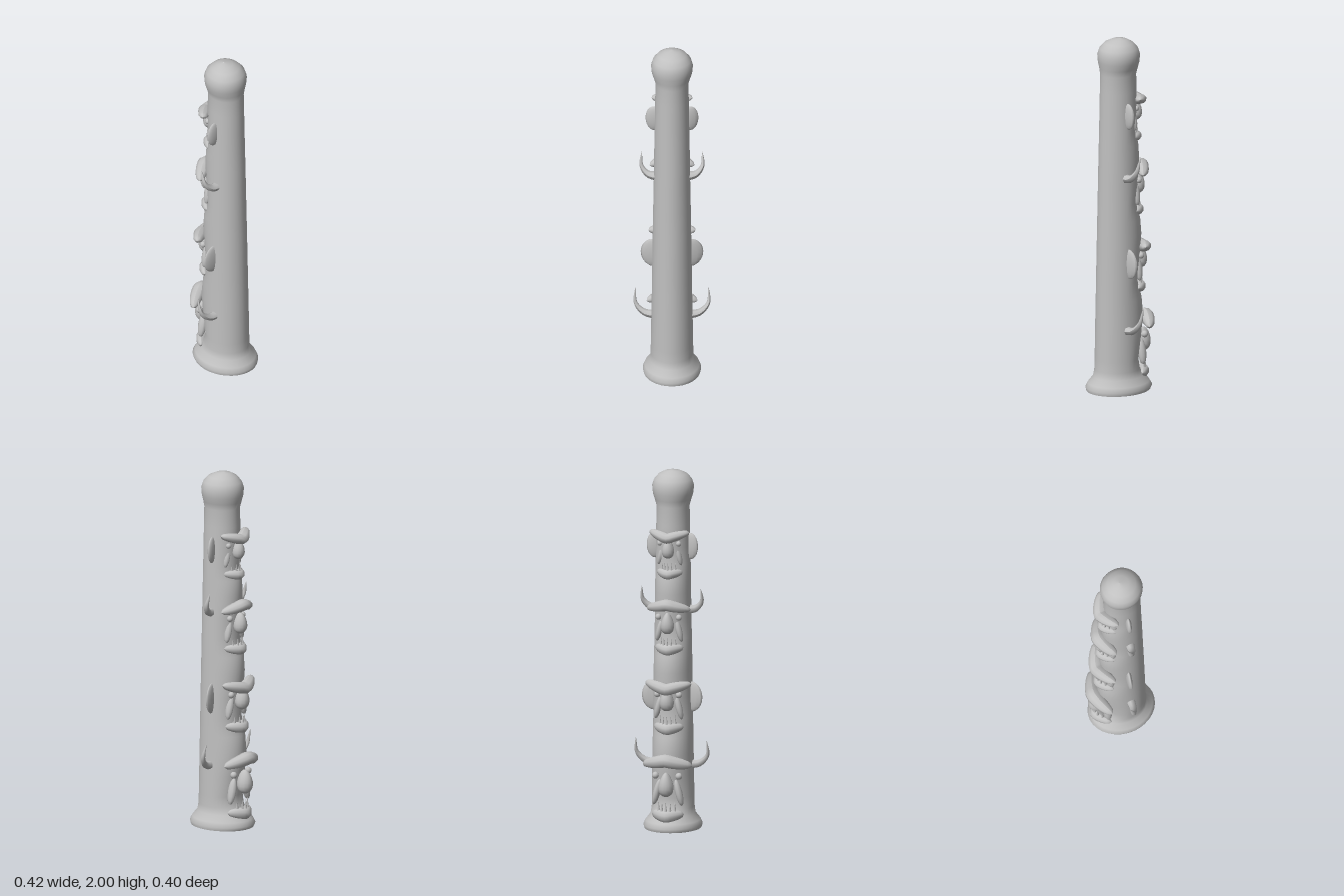
import * as THREE from 'three';

const stone = new THREE.MeshStandardMaterial({ color: 0xc0c0c0 });
stone.name = 'grey carving';

function add(parent, name, geometry) {
  const mesh = new THREE.Mesh(geometry, stone);
  mesh.name = name;
  parent.add(mesh);
  return mesh;
}

// Closed column through oval sections: [y, half width, front z, back z]
function loft(sections, sides) {
  const pos = [], idx = [];
  for (const [y, rx, zf, zb] of sections) {
    const cz = 0.015 * Math.min(1, rx / 0.09);
    for (let j = 0; j < sides; j++) {
      const a = (j / sides) * Math.PI * 2, c = Math.cos(a);
      pos.push(rx * Math.sin(a), y, cz + c * (c > 0 ? zf - cz : cz - zb));
    }
  }
  for (let i = 0; i < sections.length - 1; i++) {
    for (let j = 0; j < sides; j++) {
      const k = (j + 1) % sides, a = i * sides, b = a + sides;
      idx.push(a + j, a + k, b + k, a + j, b + k, b + j);
    }
  }
  const g = new THREE.BufferGeometry();
  g.setAttribute('position', new THREE.Float32BufferAttribute(pos, 3));
  g.setIndex(idx);
  g.computeVertexNormals();
  return g;
}

// Tube whose section is scaled by rule(t) -> [x, y, z] about its centre line
function sweep(points, rule, segs = 20, sides = 10) {
  const path = new THREE.CatmullRomCurve3(points.map((p) => new THREE.Vector3(...p)));
  const g = new THREE.TubeGeometry(path, segs, 1, sides, false);
  const p = g.attributes.position, v = new THREE.Vector3();
  for (let i = 0; i <= segs; i++) {
    const c = path.getPointAt(i / segs), s = new THREE.Vector3(...rule(i / segs));
    for (let j = 0; j <= sides; j++) {
      const n = i * (sides + 1) + j;
      v.fromBufferAttribute(p, n).sub(c).multiply(s).add(c);
      p.setXYZ(n, v.x, v.y, v.z);
    }
  }
  g.computeVertexNormals();
  return g;
}

// Crescent that wraps the back of the pole, with rounded ends
function crescent(w, yMid, yEnd, zMid, zEnd, ry, rz) {
  const pt = (u) => [w * u, yMid + (yEnd - yMid) * Math.abs(u), zMid + (zEnd - zMid) * Math.abs(u) ** 1.4];
  return sweep([-1, -0.6, -0.25, 0, 0.25, 0.6, 1].map(pt), (t) => {
    const k = Math.max(0.02, Math.sin(Math.PI * t) ** 0.4);
    return [rz * 0.7 * k, ry * k, rz * k];
  });
}

// Nose: ball that narrows and recedes toward the bridge
function nose(h, w, d) {
  const g = new THREE.SphereGeometry(1, 14, 10);
  const p = g.attributes.position;
  for (let i = 0; i < p.count; i++) {
    const y = p.getY(i), k = 0.8 - 0.3 * y;
    p.setXYZ(i, p.getX(i) * w * k, y * h, p.getZ(i) * d * (0.9 - 0.15 * y));
  }
  g.computeVertexNormals();
  return g;
}

function ear(parent, side, y, x, out, h) {
  const m = add(parent, 'ear', new THREE.SphereGeometry(1, 12, 10));
  m.scale.set(out, h, 0.016);
  m.position.set(side * x, y, 0.008);
  m.rotation.y = side * 0.2;
}

function horn(parent, side, y, out, h) {
  const pts = [[0.085, 0, 0.02], [0.085 + out * 0.55, 0.01, 0.012],
    [0.085 + out * 0.95, h * 0.4, -0.005], [0.08 + out, h, -0.028]];
  add(parent, 'horn', sweep(pts.map(([a, b, c]) => [side * a, y + b, c]), (t) => {
    const k = Math.max(0.01, (1 - t) ** 0.7);
    return [0.02 * k, 0.026 * k, 0.026 * k];
  }, 14, 7));
}

export function createModel() {
  const totem = new THREE.Group();
  totem.name = 'totemPole';

  // Pole with flared foot, recessed mouths and round top
  const sections = [
    [0, 0.155, 0.195, -0.17], [0.02, 0.16, 0.2, -0.18], [0.045, 0.15, 0.187, -0.165],
    [0.08, 0.122, 0.158, -0.135], [0.12, 0.117, 0.15, -0.105], [0.18, 0.116, 0.148, -0.095],
    [0.3, 0.114, 0.146, -0.115], [0.42, 0.112, 0.144, -0.13], [0.52, 0.11, 0.142, -0.12],
    [0.62, 0.109, 0.14, -0.09], [0.74, 0.107, 0.138, -0.105], [0.88, 0.105, 0.135, -0.12],
    [0.97, 0.104, 0.133, -0.112], [1.07, 0.102, 0.131, -0.08], [1.18, 0.1, 0.129, -0.095],
    [1.32, 0.098, 0.126, -0.106], [1.4, 0.097, 0.124, -0.1], [1.48, 0.096, 0.122, -0.075],
    [1.58, 0.094, 0.12, -0.088], [1.7, 0.092, 0.118, -0.09], [1.8, 0.09, 0.116, -0.088],
    [1.835, 0.1, 0.12, -0.097], [1.87, 0.111, 0.126, -0.105], [1.91, 0.115, 0.129, -0.108],
    [1.945, 0.104, 0.118, -0.096], [1.975, 0.078, 0.09, -0.068], [1.993, 0.043, 0.05, -0.036],
    [2, 0.001, 0.001, -0.001],
  ];
  add(totem, 'pole', loft(sections, 32));
  const base = add(totem, 'underside', new THREE.CircleGeometry(1, 32));
  base.rotation.x = Math.PI / 2;
  base.scale.set(0.155, 0.182, 1);
  base.position.z = 0.0125;

  // Stacked faces looking back: brow, eye, nose and lip heights, reach and scale
  const faces = [
    { browMid: 1.635, browEnd: 1.665, eye: 1.6, nose: 1.575, lip: 1.43, reach: -0.155, s: 0.8, eared: true },
    { browMid: 1.265, browEnd: 1.235, eye: 1.19, nose: 1.16, lip: 1.01, reach: -0.168, s: 0.88 },
    { browMid: 0.795, browEnd: 0.825, eye: 0.76, nose: 0.735, lip: 0.57, reach: -0.18, s: 0.93, eared: true },
    { browMid: 0.4, browEnd: 0.37, eye: 0.31, nose: 0.265, lip: 0.085, reach: -0.2, s: 1 },
  ];
  for (const f of faces) {
    const { s, reach } = f;
    const face = new THREE.Group();
    face.name = f.eared ? 'earedFace' : 'hornedFace';
    totem.add(face);

    add(face, 'brow', crescent(0.14 * s, f.browMid, f.browEnd, reach + 0.042, reach + 0.095, 0.036 * s, 0.042));
    add(face, 'nose', nose(0.068 * s, 0.05 * s, 0.05 * s)).position.set(0, f.nose, reach + 0.058);
    add(face, 'lowerLip', crescent(0.088 * s, f.lip, f.lip + 0.01, reach + 0.058, reach + 0.11, 0.034 * s, 0.034));

    // Lower fangs rise from the lip, upper fangs hang from above
    for (let i = -2; i <= 2; i++) {
      const z = reach + 0.052 + 0.006 * i * i;
      const low = add(face, 'lowerTooth', new THREE.ConeGeometry(0.0085 * s, 0.055 * s, 6));
      low.position.set(i * 0.023 * s, f.lip + 0.055 * s, z);
    }

    for (const side of [-1, 1]) {
      const eye = add(face, 'eye', new THREE.SphereGeometry(0.019 * s, 10, 8));
      eye.position.set(side * 0.066 * s, f.eye, reach + 0.085);
      const cheek = add(face, 'cheek', new THREE.SphereGeometry(1, 10, 8));
      cheek.scale.set(0.02 * s, 0.075 * s, 0.025 * s);
      cheek.position.set(side * 0.062 * s, f.nose - 0.05 * s, reach + 0.1);
      cheek.rotation.z = side * 0.25;
      if (f.eared) ear(face, side, f.nose, 0.1, f.nose > 1 ? 0.046 : 0.073, 0.092 * s);
      else horn(face, side, f.browEnd - 0.015, 0.1 * s + (s === 1 ? 0.02 : -0.002), 0.145 * s);
    }
  }
  return totem;
}
